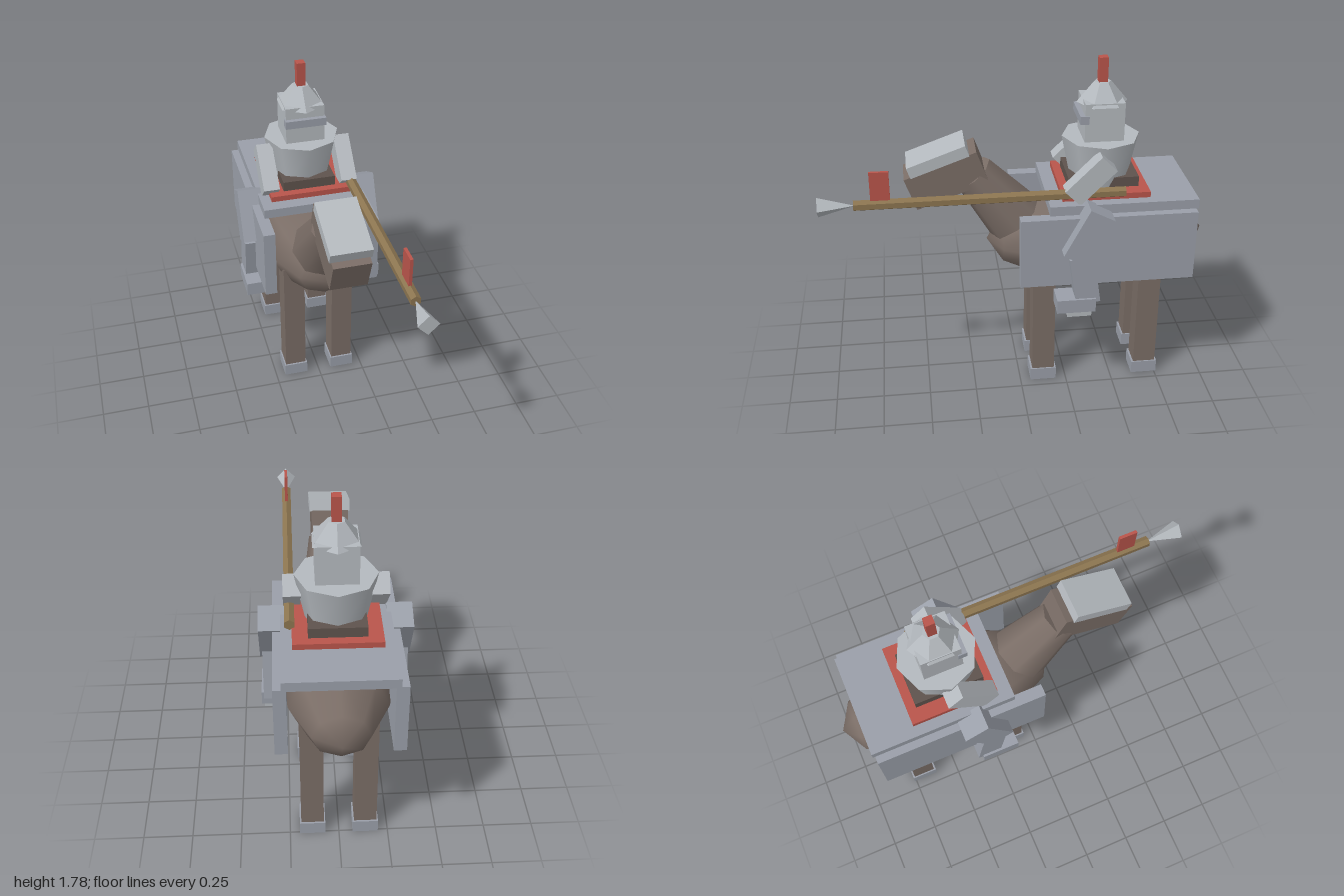
import * as THREE from 'three';

const paint = (color, flatShading = true) => new THREE.MeshStandardMaterial({ color, flatShading });

export function createModel() {
  const model = new THREE.Group();
  const hide = paint(0x7a6d66);
  const smoothHide = paint(0x7a6d66, false);
  const plate = paint(0x9a9fa9);
  const steel = paint(0xb4b9be);
  const smoothSteel = paint(0xb4b9be, false);
  const red = paint(0xb9554b);
  const wood = paint(0x8c7550);
  const leather = paint(0x5f534d);

  const add = (name, geometry, material, x, y, z, tilt = 0) => {
    const mesh = new THREE.Mesh(geometry, material);
    mesh.name = name;
    mesh.position.set(x, y, z);
    mesh.rotation.x = tilt;
    model.add(mesh);
    return mesh;
  };
  const box = (name, material, size, [x, y, z], tilt = 0) =>
    add(name, new THREE.BoxGeometry(...size), material, x, y, z, tilt);

  // Horse body, neck and head
  const body = new THREE.SphereGeometry(1, 8, 6).rotateX(Math.PI / 2).scale(0.28, 0.24, 0.58);
  add('horseBody', body, smoothHide, 0, 0.8, -0.42);
  add('horseNeck', new THREE.CylinderGeometry(0.11, 0.16, 0.34, 8), smoothHide, 0, 1.056, 0.118, 0.68);
  box('horseHead', hide, [0.19, 0.18, 0.39], [0, 1.19, 0.364], 0.35);
  box('horseFacePlate', steel, [0.21, 0.06, 0.315], [0, 1.3, 0.405], 0.35);

  // Horse legs and hooves
  for (const x of [-0.135, 0.135]) {
    for (const z of [-0.125, -0.69]) {
      box('horseLeg', hide, [0.115, 0.68, 0.12], [x, 0.41, z]);
      box('hoof', plate, [0.13, 0.07, 0.14], [x, 0.035, z]);
    }
  }

  // Horse armour and saddle
  box('backPlate', plate, [0.54, 0.05, 0.76], [0, 1.077, -0.517]);
  box('saddleCloth', red, [0.43, 0.03, 0.45], [0, 1.117, -0.432]);
  box('saddle', leather, [0.28, 0.055, 0.36], [0, 1.157, -0.43]);

  // Rider's torso, head and helmet
  add('torso', new THREE.CylinderGeometry(0.2, 0.15, 0.24, 8), smoothSteel, 0, 1.25, -0.43);
  box('riderHead', steel, [0.205, 0.2, 0.2], [0, 1.47, -0.43]);
  box('visor', plate, [0.216, 0.042, 0.045], [0, 1.488, -0.328]);
  add('helmet', new THREE.CylinderGeometry(0.043, 0.13, 0.105, 6), steel, 0, 1.602, -0.43);
  box('plume', red, [0.045, 0.13, 0.045], [0, 1.715, -0.43]);

  // Paired side plates, arms, legs and feet
  for (const s of [-1, 1]) {
    box('sidePlate', plate, [0.062, 0.38, 0.9], [s * 0.278, 0.86, -0.435]);
    box('arm', steel, [0.085, 0.255, 0.11], [s * 0.21, 1.222, -0.343], -0.785);
    box('thigh', plate, [0.128, 0.28, 0.14], [s * 0.313, 0.97, -0.32], -0.48);
    box('shin', plate, [0.11, 0.27, 0.125], [s * 0.31, 0.72, -0.308], 0.15);
    box('foot', plate, [0.125, 0.075, 0.2], [s * 0.315, 0.58, -0.265]);
    box('stirrup', steel, [0.1, 0.04, 0.125], [s * 0.315, 0.53, -0.283]);
  }

  // Lance with its flared tip and pennant
  const shaft = new THREE.CylinderGeometry(0.028, 0.028, 1.35, 6).rotateX(Math.PI / 2);
  add('lanceShaft', shaft, wood, 0.225, 1.148, 0.152);
  const tip = new THREE.ConeGeometry(0.053, 0.18, 4).rotateX(-Math.PI / 2);
  add('lanceTip', tip, steel, 0.225, 1.148, 0.91);
  box('pennant', red, [0.016, 0.15, 0.096], [0.225, 1.247, 0.695]);

  return model;
}
